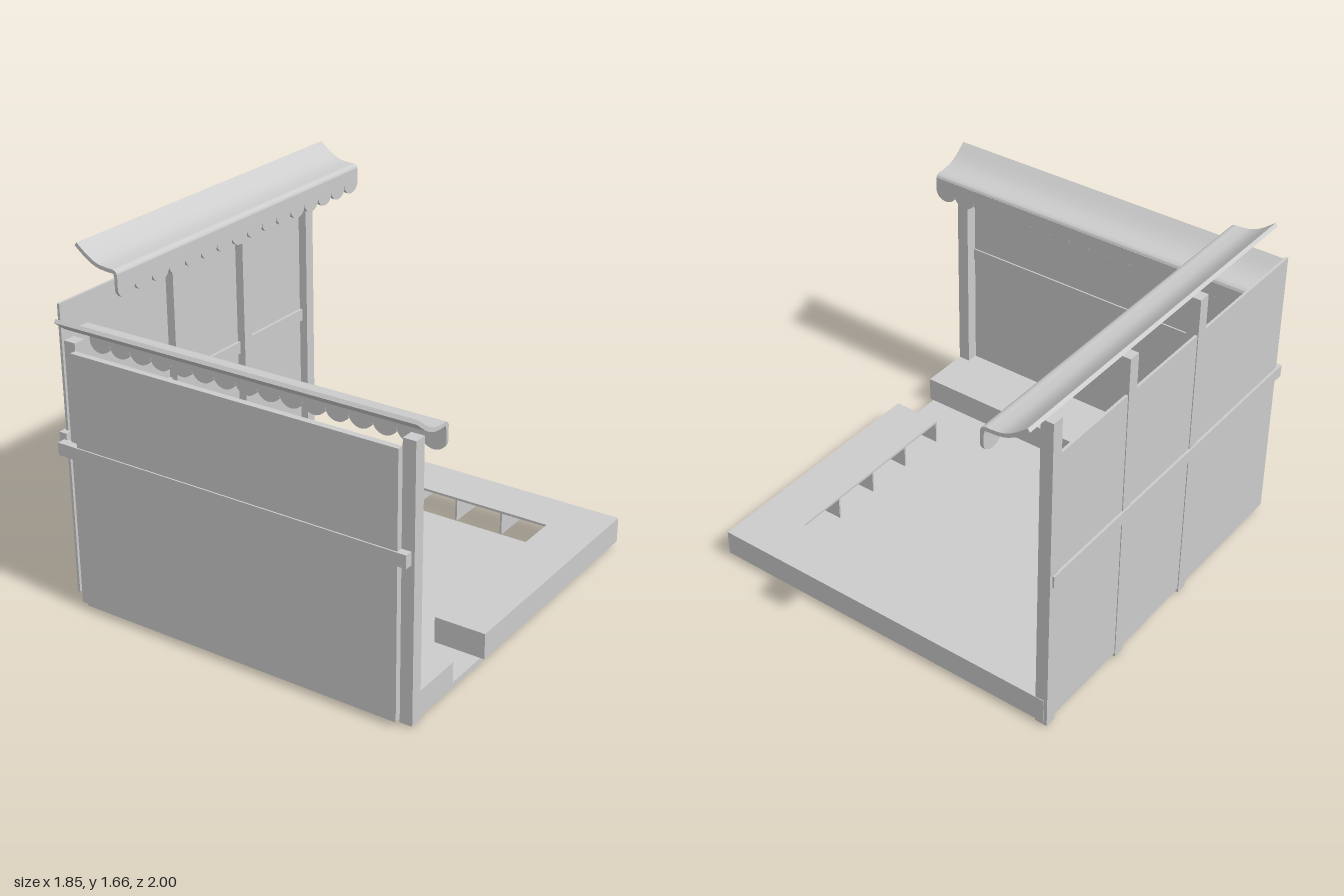
import * as THREE from 'three';
import { toCreasedNormals } from 'three/addons/utils/BufferGeometryUtils.js';

const material = new THREE.MeshStandardMaterial({ color: 0xcccccc, side: THREE.DoubleSide });

// Box given by its limits on each axis
function box(parent, name, [x0, x1], [y0, y1], [z0, z1]) {
  const mesh = new THREE.Mesh(new THREE.BoxGeometry(x1 - x0, y1 - y0, z1 - z0), material);
  mesh.position.set((x0 + x1) / 2, (y0 + y1) / 2, (z0 + z1) / 2);
  mesh.name = name;
  parent.add(mesh);
}

// Awning: slopes down along +x from its top edge, runs along z, ends in a scalloped valance
function awning(name, length) {
  const group = new THREE.Group();
  group.name = name;
  const curve = new THREE.SplineCurve([
    [0, 0], [0.06, -0.047], [0.11, -0.072], [0.16, -0.08], [0.195, -0.082], [0.212, -0.092], [0.217, -0.115],
  ].map(([x, y]) => new THREE.Vector2(x, y)));
  const top = curve.getPoints(28);
  const bottom = top.map((p, i) => {
    const t = curve.getTangent(i / 28);
    return new THREE.Vector2(p.x + t.y * 0.018, p.y - t.x * 0.018);
  });
  const canopy = new THREE.ExtrudeGeometry(new THREE.Shape([...top, ...bottom.reverse()]),
    { depth: length, bevelEnabled: false });
  const cover = new THREE.Mesh(toCreasedNormals(canopy, 0.6), material);
  cover.name = 'awningCover';
  group.add(cover);

  // Valance with a row of round scallops
  const count = 16, step = length / count;
  const shape = new THREE.Shape();
  shape.moveTo(0, -0.1);
  shape.lineTo(0, -0.165);
  for (let i = 0; i < count; i++) {
    shape.absellipse((i + 0.5) * step, -0.165, step / 2, 0.05, Math.PI, Math.PI * 2, false);
  }
  shape.lineTo(length, -0.1);
  const cloth = new THREE.ExtrudeGeometry(shape, { depth: 0.016, bevelEnabled: false, curveSegments: 8 });
  const valance = new THREE.Mesh(toCreasedNormals(cloth, 0.6), material);
  valance.name = 'scallopedValance';
  valance.rotation.y = -Math.PI / 2;
  valance.position.x = 0.217;
  group.add(valance);
  return group;
}

export function createModel() {
  const model = new THREE.Group();
  model.name = 'marketStall';

  box(model, 'floorPlate', [-0.62, 0.88], [0, 0.025], [-0.61, 0.93]);

  // Raised decks: thin tops, outer skirts and cross dividers, open underneath
  const deck = new THREE.Group();
  deck.name = 'raisedDeck';
  model.add(deck);
  const top = [0.138, 0.15], tall = [0.025, 0.15];
  box(deck, 'backDeckTop', [-0.9, 0.9], top, [-0.86, -0.61]);
  box(deck, 'backDeckSkirt', [-0.9, 0.9], tall, [-0.86, -0.848]);
  box(deck, 'leftDeckTop', [0.65, 0.9], top, [-0.61, 0.39]);
  box(deck, 'leftDeckSkirt', [0.888, 0.9], tall, [-0.86, 0.39]);
  box(deck, 'frontDeckTop', [-0.86, 0.9], top, [0.65, 0.96]);
  box(deck, 'frontDeckSkirt', [-0.61, 0.9], tall, [0.65, 0.662]);
  box(deck, 'frontDeckEnd', [0.888, 0.9], tall, [0.65, 0.96]);
  box(deck, 'rightDeckTop', [-0.9, -0.61], top, [-0.105, 0.65]);
  box(deck, 'rightDeckSkirt', [-0.622, -0.61], tall, [-0.105, 0.65]);
  for (let i = 0; i < 7; i++) {
    const x = -0.85 + i * 0.25;
    box(deck, 'backDivider', [x, x + 0.01], tall, [-0.85, -0.61]);
  }
  for (let i = 0; i < 5; i++) {
    const z = -0.61 + i * 0.2475;
    box(deck, 'leftDivider', [0.65, 0.89], tall, [z, z + 0.01]);
  }
  for (let i = 0; i < 5; i++) {
    const z = -0.105 + i * 0.25;
    box(deck, 'rightDivider', [-0.9, -0.61], tall, [z, z + 0.01]);
  }

  // Tall wall on the right side
  const sideWall = new THREE.Group();
  sideWall.name = 'rightWall';
  model.add(sideWall);
  box(sideWall, 'rightPanel', [-0.913, -0.9], [0.03, 1.43], [-0.8, 0.93]);
  box(sideWall, 'rightRail', [-0.925, -0.885], [0.78, 0.84], [-0.84, 0.96]);
  for (const z of [-0.828, -0.312, 0.205]) {
    box(sideWall, 'rightPost', [-0.917, -0.857], [0.01, 1.605], [z - 0.029, z + 0.029]);
  }

  // Lower wall across the front
  const frontWall = new THREE.Group();
  frontWall.name = 'frontWall';
  model.add(frontWall);
  box(frontWall, 'frontPanel', [-0.797, 0.84], [0.025, 1.25], [0.963, 0.993]);
  box(frontWall, 'frontRail', [-0.9, 0.885], [0.75, 0.81], [0.955, 1]);
  for (const x of [-0.826, 0.87]) {
    box(frontWall, 'frontPost', [x - 0.03, x + 0.03], [0.01, 1.285], [0.903, 0.963]);
  }

  // Awnings lean inwards from the tops of both walls
  const sideAwning = awning('rightAwning', 1.8);
  sideAwning.position.set(-0.9, 1.665, -1);
  const frontAwning = awning('frontAwning', 1.8);
  frontAwning.rotation.y = Math.PI / 2;
  frontAwning.position.set(-0.88, 1.383, 0.98);
  model.add(sideAwning, frontAwning);

  return model;
}
